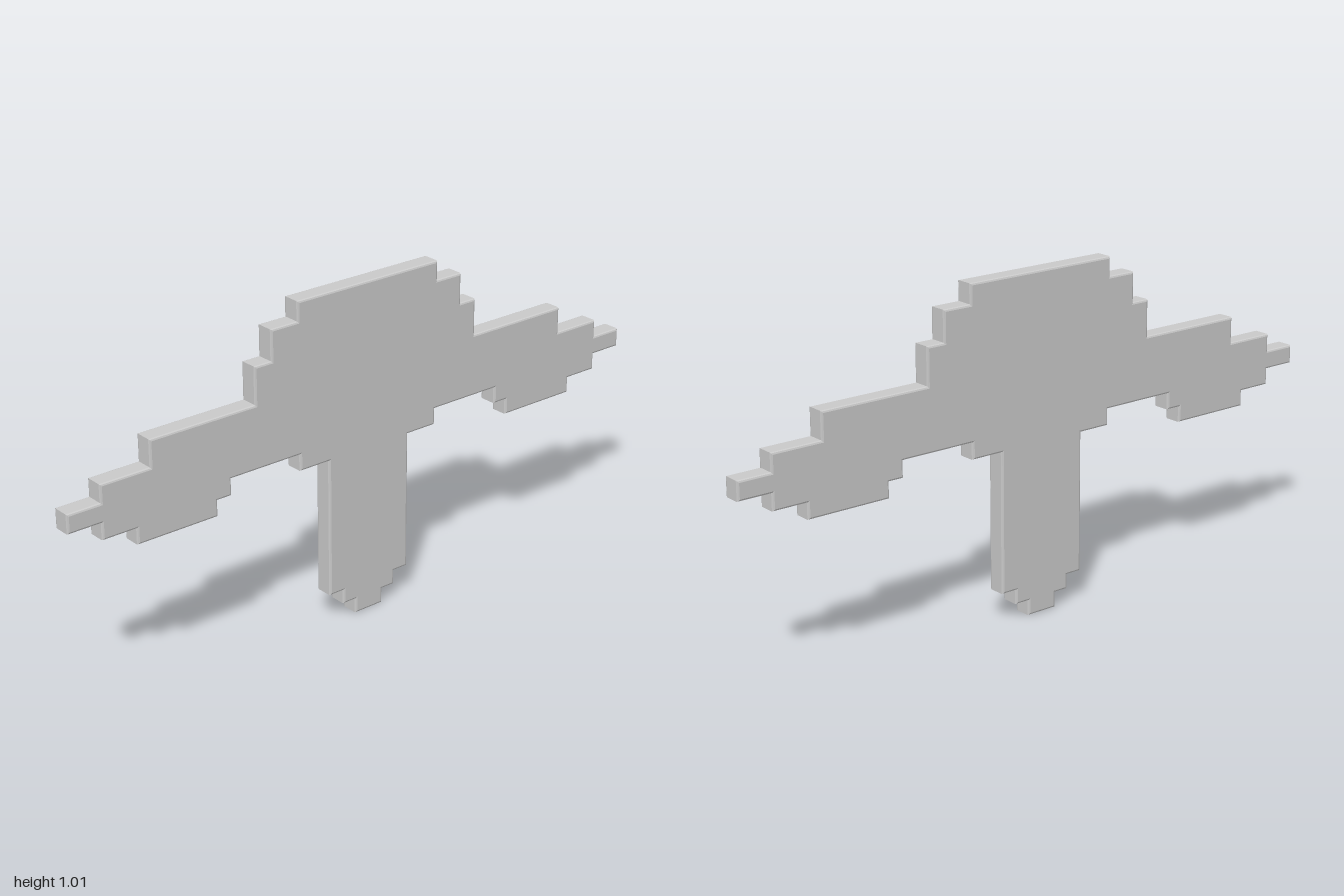
import * as THREE from 'three';

// Stepped outline of the +x half, from top centre round to bottom centre
const HALF = [
  [0.25, 1.015], [0.25, 0.957], [0.34, 0.957], [0.34, 0.866],
  [0.397, 0.866], [0.397, 0.755], [0.74, 0.755], [0.74, 0.675],
  [0.897, 0.675], [0.897, 0.622], [1.0, 0.622], [1.0, 0.565],
  [0.897, 0.565], [0.897, 0.515], [0.79, 0.515], [0.79, 0.467],
  [0.53, 0.467], [0.53, 0.515], [0.483, 0.515], [0.483, 0.565],
  [0.247, 0.565], [0.247, 0.515], [0.145, 0.515], [0.145, 0.09],
  [0.095, 0.09], [0.095, 0.046], [0.05, 0.046], [0.05, 0],
];
const THICKNESS = 0.058;
const BEVEL = 0.006;

export function createModel() {
  const group = new THREE.Group();
  group.name = 'steppedPlate';

  // Mirror the half outline to close the silhouette
  const mirrored = HALF.map(([x, y]) => [-x, y]).reverse();
  const outline = [...HALF, ...mirrored].map(([x, y]) => new THREE.Vector2(x, y));

  // Thin slab with softened edges, kept within the outline
  const geometry = new THREE.ExtrudeGeometry(new THREE.Shape(outline), {
    depth: THICKNESS - 2 * BEVEL,
    bevelEnabled: true,
    bevelThickness: BEVEL,
    bevelSize: BEVEL,
    bevelOffset: -BEVEL,
    bevelSegments: 2,
  });
  geometry.translate(0, 0, BEVEL - THICKNESS / 2);

  const plate = new THREE.Mesh(geometry, new THREE.MeshStandardMaterial({ color: 0xcccccc }));
  plate.name = 'plate';
  group.add(plate);
  return group;
}
